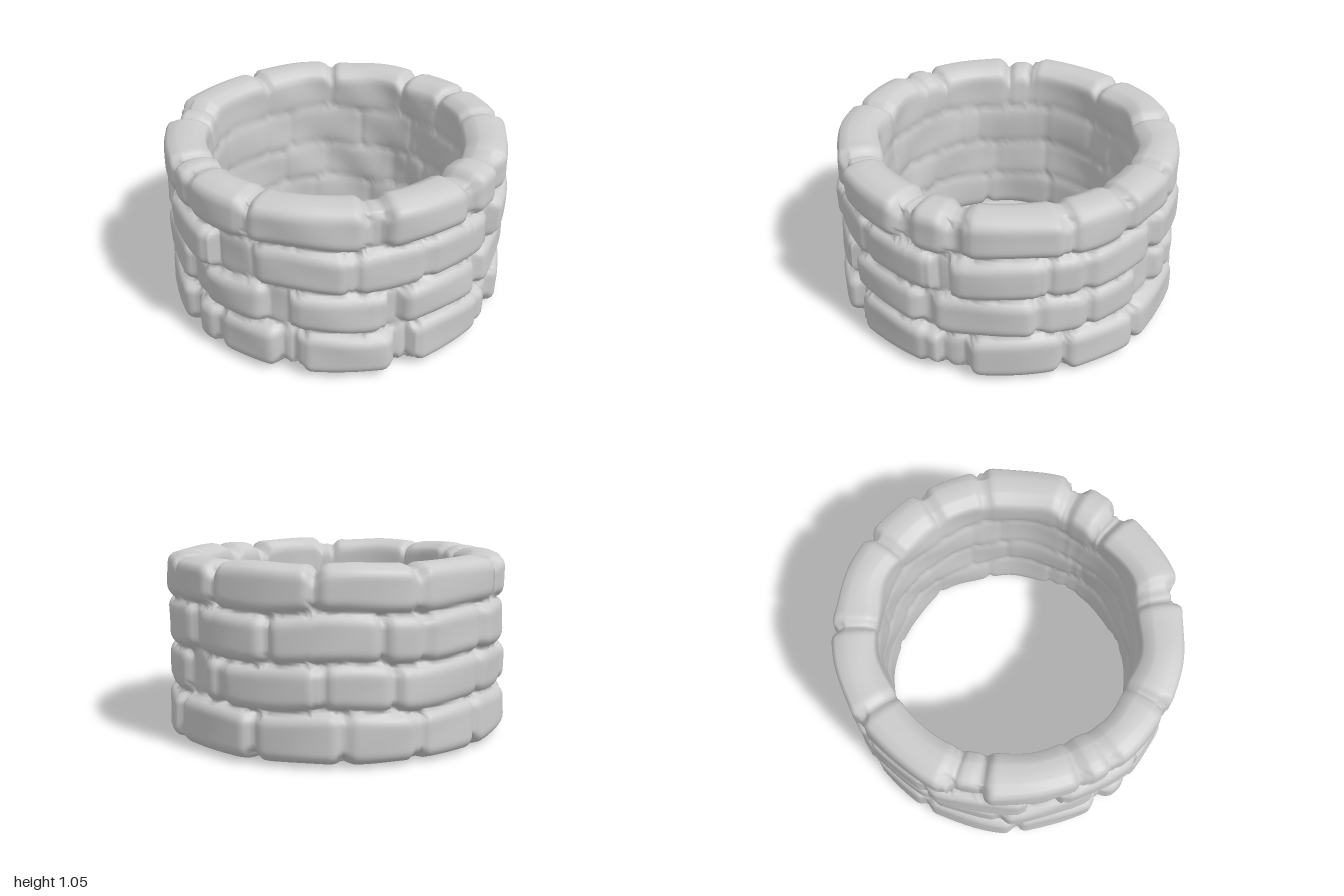
import * as THREE from 'three';

// Each course of stones: height range, mean outer radius, joint angles in degrees
// (0 = front, 90 = +x) and the indices of sunken stones.
const COURSES = [
  { y0: 0.015, y1: 0.287, radius: 0.988, sunk: [2, 5, 7, 10],
    joints: [-65, -32, -2, 2, 13, 37, 43, 74, 80, 111, 115, 124, 156, 183, 217, 246, 270, 295] },
  { y0: 0.287, y1: 0.535, radius: 0.976, sunk: [2, 4, 6, 8, 12],
    joints: [-62, -37, -3, 6, 32, 40, 71, 76, 108, 112, 147, 164, 185, 196, 205, 239, 262, 298] },
  { y0: 0.535, y1: 0.795, radius: 0.98, sunk: [1, 3, 7, 11],
    joints: [-62, -28, -17, 12, 28, 60, 85, 113, 119, 149, 163, 190, 194, 222, 258, 272, 298] },
  { y0: 0.795, y1: 1.042, radius: 0.976, sunk: [4, 6, 8, 15],
    joints: [-43, -10, 1, 26, 65, 70, 101, 105, 119, 123, 156, 178, 201, 237, 270, 306] },
];
const VALLEY = 0.912; // outer radius down in the joints
const INNER = 0.73;
const ROUND = 0.07;
const ANGLE_STEPS = 300;

// Small repeatable random numbers in -1..1
function makeRandom(seed) {
  let s = seed;
  return () => {
    s = (s * 16807) % 2147483647;
    return (s / 2147483647) * 2 - 1;
  };
}

// Gentle surface unevenness
function lump(a, y) {
  const x = Math.sin(a), z = Math.cos(a);
  return Math.sin(x * 9 + y * 5 + 1) * Math.sin(y * 9 - z * 7) + 0.6 * Math.sin(x * 6 - z * 9 + y * 4);
}

// Quarter-round edge: 0 on the edge, 1 once past the rounding, from two edge distances
function rounded(tx, ty) {
  const e = Math.hypot(1 - Math.min(1, Math.max(0, tx)), 1 - Math.min(1, Math.max(0, ty)));
  return Math.sqrt(Math.max(0, 1 - e * e));
}

// Turns the joint lists into stones with their own size variations
function layStones() {
  const rand = makeRandom(4217);
  return COURSES.map(({ y0, y1, radius, joints, sunk }) => ({
    y0, y1,
    stones: joints.map((start, i) => {
      const end = i + 1 < joints.length ? joints[i + 1] : joints[0] + 360;
      return {
        mid: THREE.MathUtils.degToRad((start + end) / 2),
        half: THREE.MathUtils.degToRad((end - start) / 2),
        sunk: sunk.includes(i),
        outer: radius - (sunk.includes(i) ? 0.045 : 0) + 0.008 * rand(),
        tilt: 0.04 * rand(),
        seam: 0.24 + 0.2 * rand(), // how far the stone has merged with its neighbours
      };
    }),
  }));
}

// The stone of a course at angle a, with its offset from the middle and its edge distance
function stoneAt(course, a) {
  for (const stone of course.stones) {
    const d = a - stone.mid;
    const da = Math.atan2(Math.sin(d), Math.cos(d));
    if (Math.abs(da) <= stone.half + 1e-9) {
      const tx = Math.max(stone.seam, (stone.half - Math.abs(da)) * 0.95 / ROUND);
      return { stone, da, tx };
    }
  }
}

// Closed cross-section of the wall at angle a: outside up, over the rim, inside down, underneath
function crossSection(courses, a) {
  const hits = courses.map((c) => stoneAt(c, a));
  const dip = (hit) => 1 - rounded(hit.tx, 1) + (hit.stone.sunk ? 0.3 : 0);
  const yb = 0.015 + 0.06 * dip(hits[0]) + 0.004 * lump(a, 0);
  const yt = 1.038 - 0.08 * dip(hits[3]) + 0.005 * lump(a, 1);

  // Height of the stone relief: 0 in the joints, 1 on the faces
  const relief = (y) => {
    const wavy = y + 0.01 * Math.sin(a * 7);
    const k = courses.findIndex((c, i) => i === 3 || wavy < c.y1);
    const low = k === 0 ? y - yb : wavy - courses[k].y0;
    const high = k === 3 ? yt - y : courses[k].y1 - wavy;
    return { ...hits[k], h: rounded(hits[k].tx, Math.min(low, high) / ROUND) };
  };
  const outside = (y) => {
    const { stone, da, h } = relief(y);
    const straight = 0.4 * (1 / Math.cos(da) - 1 - stone.half ** 2 / 6);
    const face = stone.outer * (1 + straight) + stone.tilt * da + 0.007 * lump(a, y);
    return VALLEY + (face - VALLEY) * h;
  };
  const inside = (y) => {
    const edge = rounded(1, Math.min(y - yb, yt - y) / ROUND);
    return INNER + 0.014 * (1 - relief(y).h) + 0.05 * (1 - edge) + 0.011 * lump(a, y);
  };

  const points = [];
  const run = (n, fn) => { for (let i = 0; i < n; i++) points.push(fn(i / n)); };
  const height = (t) => yb + (yt - yb) * t;
  const across = (from, to, t) => from + (to - from) * t;
  run(66, (t) => [outside(height(t)), height(t)]);
  run(7, (t) => [across(outside(yt), inside(yt), t), yt + 0.006 * Math.sin(t * Math.PI)]);
  run(40, (t) => [inside(height(1 - t)), height(1 - t)]);
  run(7, (t) => [across(inside(yb), outside(yb), t), yb - 0.006 * Math.sin(t * Math.PI)]);
  return points;
}

// Sweeps the cross-section round the vertical axis into one closed skin
function wallGeometry() {
  const courses = layStones();
  const positions = [], index = [];
  let n = 0;
  for (let i = 0; i < ANGLE_STEPS; i++) {
    const a = (i / ANGLE_STEPS) * Math.PI * 2;
    const section = crossSection(courses, a);
    n = section.length;
    for (const [r, y] of section) positions.push(r * Math.sin(a), Math.max(0, y), r * Math.cos(a));
  }
  for (let i = 0; i < ANGLE_STEPS; i++) {
    const here = i * n, next = ((i + 1) % ANGLE_STEPS) * n;
    for (let j = 0; j < n; j++) {
      const k = (j + 1) % n;
      index.push(here + j, next + j, here + k, next + j, next + k, here + k);
    }
  }
  const geo = new THREE.BufferGeometry();
  geo.setAttribute('position', new THREE.Float32BufferAttribute(positions, 3));
  geo.setIndex(index);
  geo.computeVertexNormals();
  return geo;
}

export function createModel() {
  const model = new THREE.Group();
  model.name = 'stoneRing';
  const wall = new THREE.Mesh(wallGeometry(), new THREE.MeshStandardMaterial({ color: 0xcccccc }));
  wall.name = 'stoneWall';
  model.add(wall);
  return model;
}
